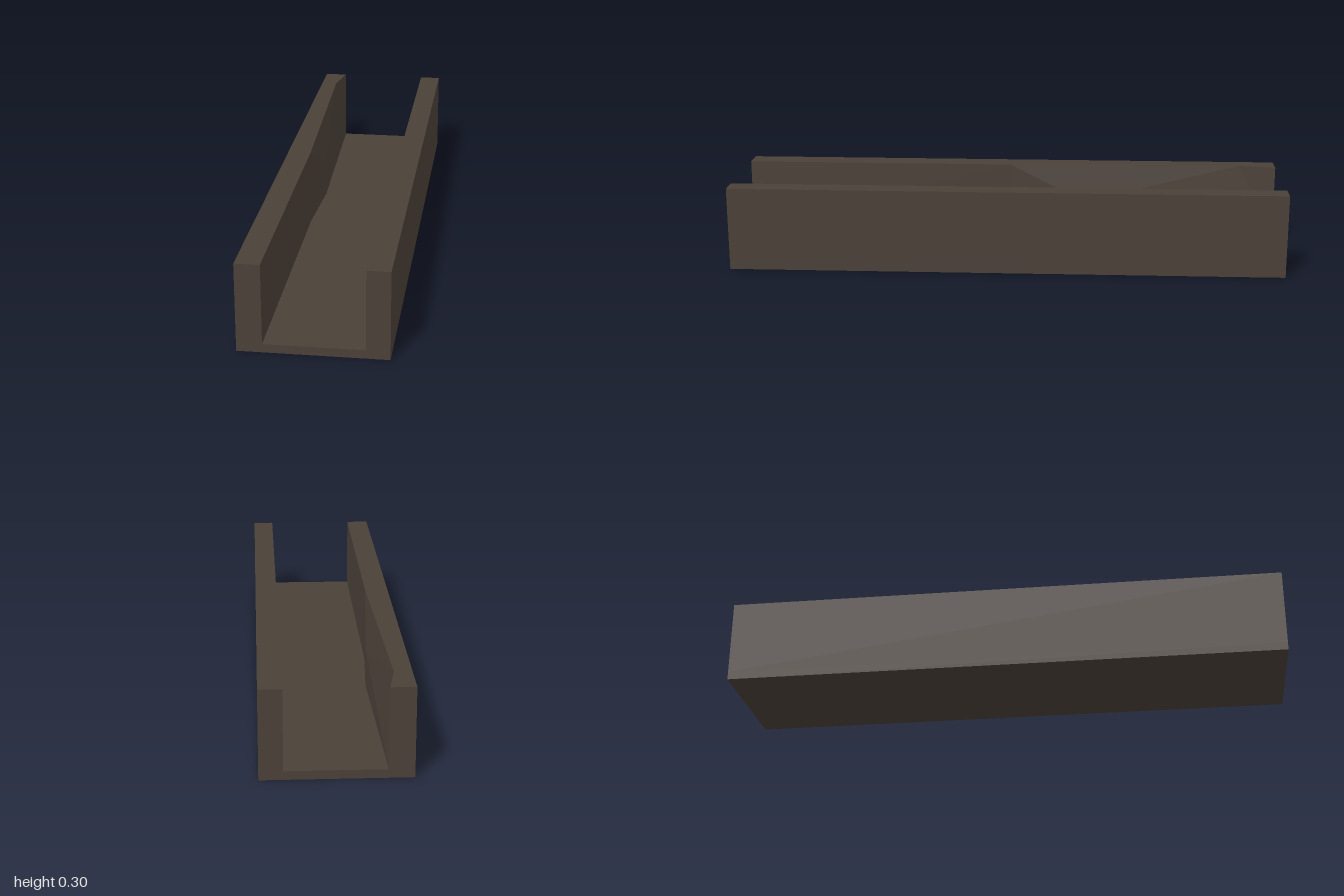
import * as THREE from 'three';

const WIDTH = 0.488, HEIGHT = 0.301, FLOOR = 0.029, LENGTH = 2;

export function createModel() {
  const group = new THREE.Group();
  group.name = 'channel';
  const darkBrown = new THREE.MeshStandardMaterial({ color: 0x4a4038 });
  darkBrown.name = 'dark brown';

  const add = (name, geometry, x = 0, y = 0) => {
    const mesh = new THREE.Mesh(geometry, darkBrown);
    mesh.name = name;
    mesh.position.set(x, y, 0);
    group.add(mesh);
  };

  // Floor slab and plain left wall
  const wallHeight = HEIGHT - FLOOR, leftInner = 0.167, leftThick = WIDTH / 2 - leftInner;
  add('floor', new THREE.BoxGeometry(WIDTH, FLOOR, LENGTH), 0, FLOOR / 2);
  add('leftWall', new THREE.BoxGeometry(leftThick, wallHeight, LENGTH),
    leftInner + leftThick / 2, FLOOR + wallHeight / 2);

  // Right wall: its inner face bulges and then dips towards the back
  const out = -WIDTH / 2, inn = -0.161;
  const corners = {
    outFrontTop: [out, HEIGHT, 1], outFrontLow: [out, FLOOR, 1],
    outBackTop: [out, HEIGHT, -1], outBackLow: [out, FLOOR, -1],
    frontTop: [inn, HEIGHT, 1], frontLow: [inn, FLOOR, 1],
    midTop: [inn, HEIGHT, 0], midLow: [inn, FLOOR, 0],
    bulgeTop: [-0.144, 0.163, -0.28], bulgeLow: [-0.144, FLOOR, -0.28],
    dip: [-0.185, HEIGHT, -0.865],
    backTop: [inn, HEIGHT, -1], backLow: [inn, FLOOR, -1],
  };
  // Convex outlines, counter-clockwise from outside, filled as fans
  const faces = [
    'frontLow midLow midTop frontTop',
    'midLow bulgeLow bulgeTop midTop',
    'midTop bulgeTop dip',
    'bulgeTop bulgeLow backLow',
    'bulgeTop backLow dip',
    'dip backLow backTop',
    'outBackLow outFrontLow outFrontTop outBackTop',
    'outFrontTop frontTop midTop dip outBackTop',
    'outBackTop dip backTop',
    'outFrontLow frontLow frontTop outFrontTop',
    'backLow outBackLow outBackTop backTop',
  ];
  const positions = [];
  for (const face of faces) {
    const p = face.split(' ').map((key) => corners[key]);
    for (let i = 1; i < p.length - 1; i++) positions.push(...p[0], ...p[i], ...p[i + 1]);
  }
  const rightWall = new THREE.BufferGeometry();
  rightWall.setAttribute('position', new THREE.Float32BufferAttribute(positions, 3));
  rightWall.computeVertexNormals();
  add('rightWall', rightWall);

  return group;
}
